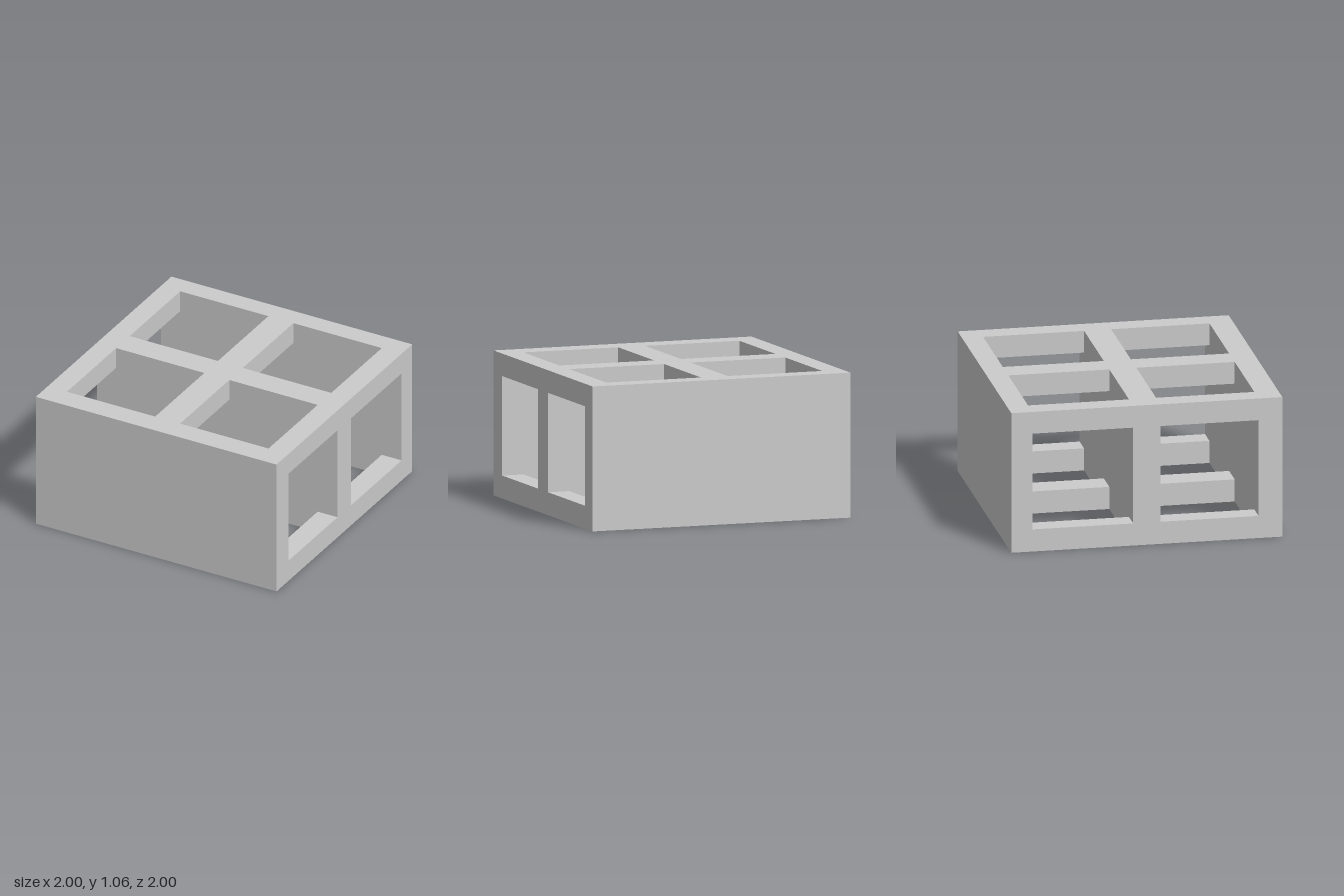
import * as THREE from 'three';

export function createModel() {
  const group = new THREE.Group();
  const material = new THREE.MeshStandardMaterial({ color: 0xcccccc, flatShading: true });
  const H = 1.06;

  // Box given by its min and max on each axis
  function block(name, [x0, x1], [y0, y1], [z0, z1]) {
    const mesh = new THREE.Mesh(new THREE.BoxGeometry(x1 - x0, y1 - y0, z1 - z0), material);
    mesh.position.set((x0 + x1) / 2, (y0 + y1) / 2, (z0 + z1) / 2);
    mesh.name = name;
    group.add(mesh);
  }

  // Three solid upright panels across the full width
  const walls = { backWall: [-1, -0.845], middleWall: [-0.1, 0.1], frontWall: [0.825, 1] };
  for (const [name, z] of Object.entries(walls)) block(name, [-1, 1], [0, H], z);

  // Rails joining the panels, at the top and the bottom of both bays
  const railX = { right: [-1, -0.84], centre: [-0.107, 0.1], left: [0.835, 1] };
  const railY = { Top: [0.895, H], Bottom: [0, 0.168] };
  const bays = { Back: [-0.845, -0.1], Front: [0.1, 0.825] };
  for (const [side, x] of Object.entries(railX))
    for (const [level, y] of Object.entries(railY))
      for (const [bay, z] of Object.entries(bays))
        block(`${side}${level}${bay}Rail`, x, y, z);

  return group;
}
